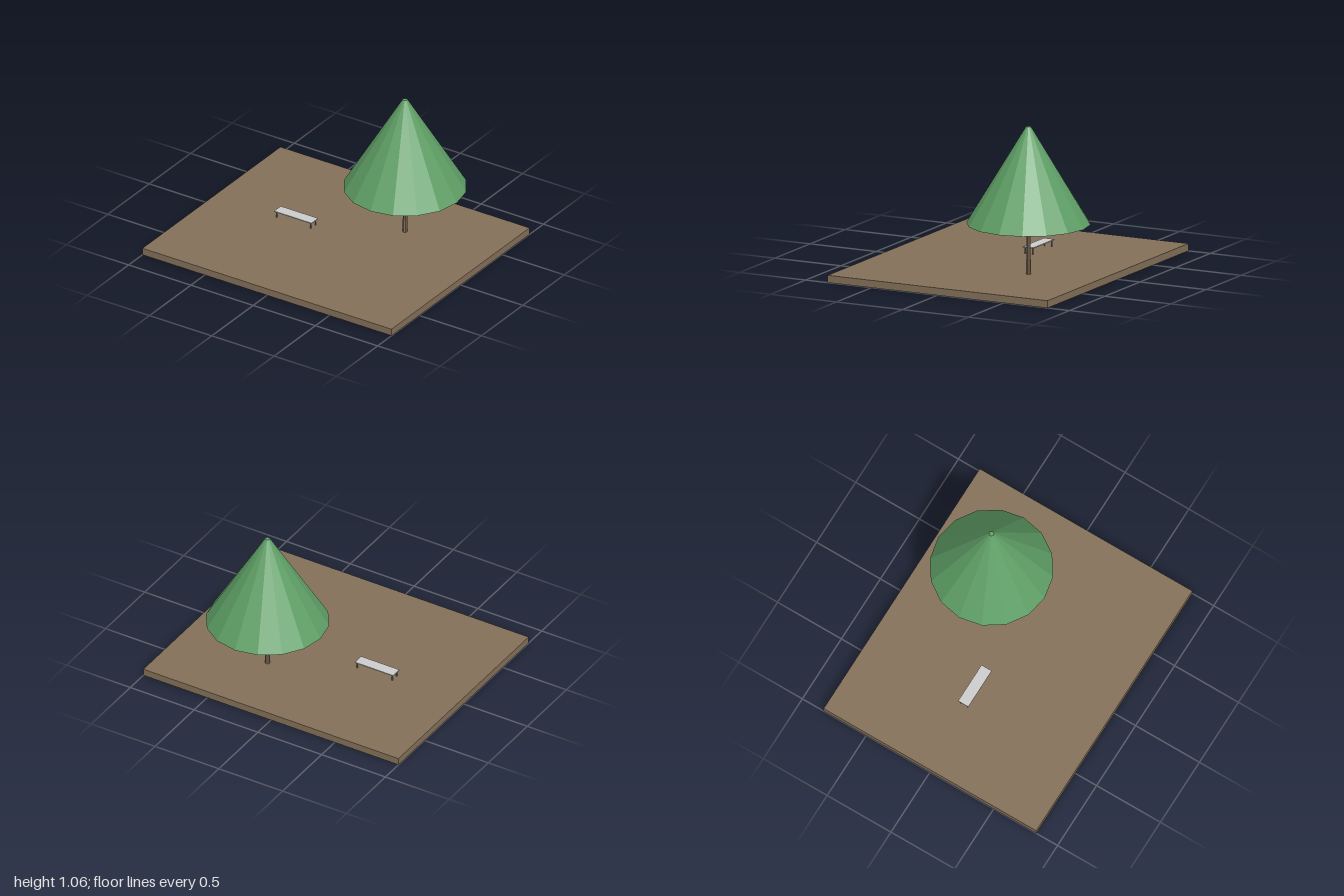
import * as THREE from 'three';

const paint = (name, color) => {
  const material = new THREE.MeshStandardMaterial({ color });
  material.name = name;
  material.flatShading = true;
  return material;
};

export function createModel() {
  const model = new THREE.Group();
  model.name = 'parkPlot';

  const earth = paint('earthBrown', 0x836f58);
  const leaf = paint('leafGreen', 0x5f9f66);
  const seatGrey = paint('lightGrey', 0xcccccc);
  const legGrey = paint('darkGrey', 0x808080);

  const add = (parent, name, geometry, material, x, y, z) => {
    const mesh = new THREE.Mesh(geometry, material);
    mesh.name = name;
    mesh.position.set(x, y, z);
    parent.add(mesh);
  };

  // Ground slab
  const top = 0.05;
  add(model, 'ground', new THREE.BoxGeometry(2, top, 1.666), earth, 0, top / 2, 0);

  // Tree: tapered trunk and a sixteen-sided crown with a small flat tip
  const tree = new THREE.Group();
  tree.name = 'tree';
  tree.position.set(0.333, top, -0.333);
  add(tree, 'trunk', new THREE.CylinderGeometry(0.0133, 0.0167, 0.347, 8), earth, 0, 0.1735, 0);
  add(tree, 'crown', new THREE.CylinderGeometry(0.0167, 0.4167, 0.663, 16), leaf, 0, 0.6785, 0);
  model.add(tree);

  // Bench: thin seat on four slim legs
  const bench = new THREE.Group();
  bench.name = 'bench';
  bench.position.set(-0.35, top, -0.045);
  add(bench, 'seat', new THREE.BoxGeometry(0.3, 0.007, 0.08), seatGrey, 0, 0.0465, 0);
  for (const x of [-0.137, 0.137]) {
    for (const z of [-0.028, 0.028]) {
      add(bench, 'leg', new THREE.BoxGeometry(0.007, 0.043, 0.007), legGrey, x, 0.0215, z);
    }
  }
  model.add(bench);

  return model;
}
